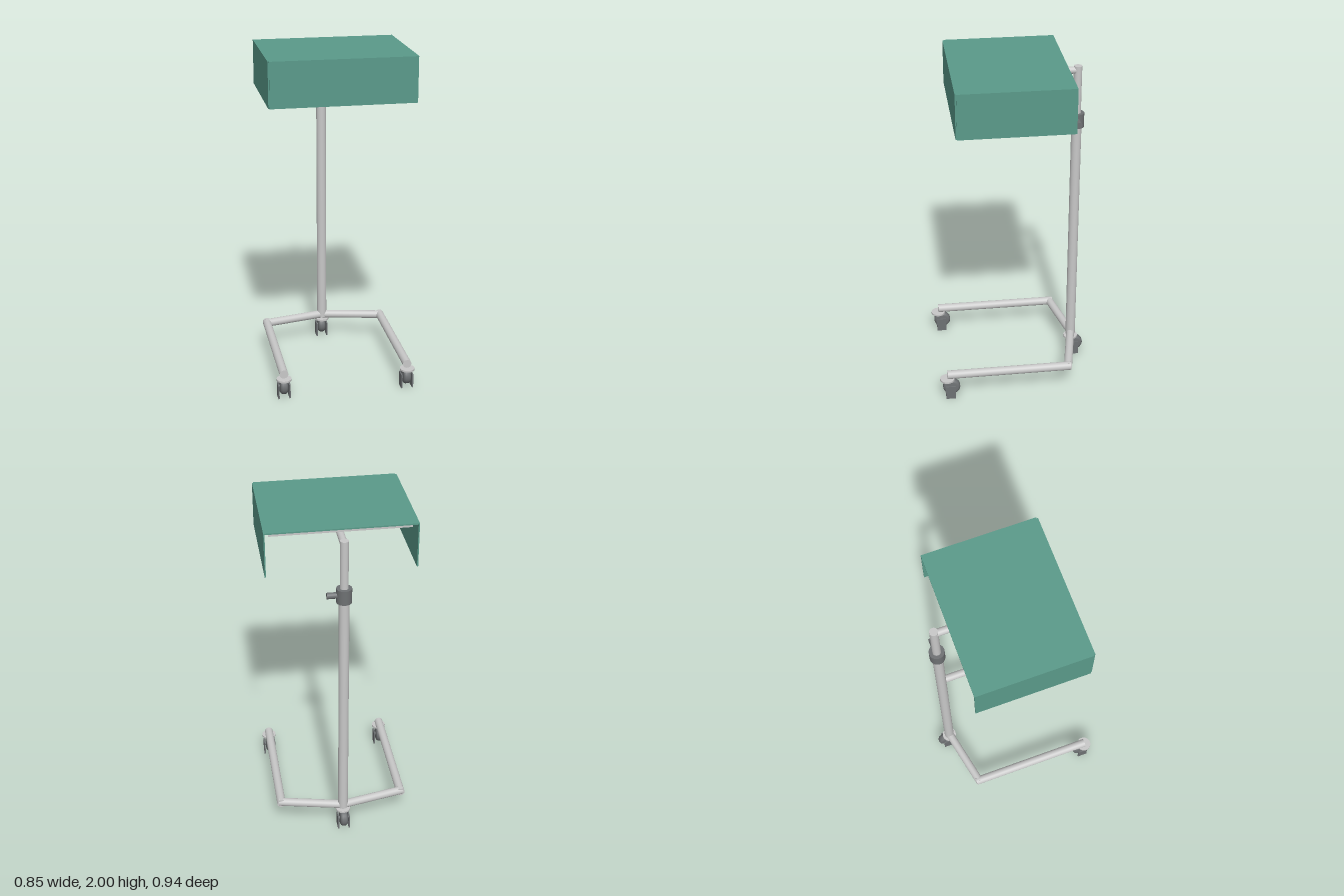
import * as THREE from 'three';

const mat = (name, color) => {
  const m = new THREE.MeshStandardMaterial({ color });
  m.name = name;
  return m;
};

export function createModel() {
  const green = mat('canopy green', 0x5a9a8a);
  const metal = mat('light metal', 0xc8c8c8);
  const dark = mat('dark grey', 0x6e7173);

  const model = new THREE.Group();
  model.name = 'rollingStand';

  const add = (parent, name, geometry, material) => {
    const mesh = new THREE.Mesh(geometry, material);
    mesh.name = name;
    parent.add(mesh);
    return mesh;
  };

  // Round bar between two points
  const bar = (parent, name, a, b, r, material) => {
    const p = new THREE.Vector3(...a), q = new THREE.Vector3(...b);
    const dir = q.clone().sub(p);
    const mesh = add(parent, name, new THREE.CylinderGeometry(r, r, dir.length(), 32), material);
    mesh.position.copy(p).add(q).multiplyScalar(0.5);
    mesh.quaternion.setFromUnitVectors(new THREE.Vector3(0, 1, 0), dir.normalize());
    return mesh;
  };

  // Box given by its extents on each axis
  const box = (parent, name, [x0, x1], [y0, y1], [z0, z1], material) => {
    const mesh = add(parent, name, new THREE.BoxGeometry(x1 - x0, y1 - y0, z1 - z0), material);
    mesh.position.set((x0 + x1) / 2, (y0 + y1) / 2, (z0 + z1) / 2);
    return mesh;
  };

  // Canopy: top and three hanging panels, open below and at the back
  const canopy = new THREE.Group();
  canopy.name = 'canopy';
  model.add(canopy);
  box(canopy, 'topPanel', [-0.418, 0.418], [1.992, 2], [-0.32, 0.337], green);
  box(canopy, 'frontPanel', [-0.418, 0.418], [1.735, 2], [0.337, 0.345], green);
  for (const s of [-1, 1]) {
    const side = box(canopy, 'sidePanel', [-0.0035, 0.0035], [1.735, 2], [-0.32, 0.337], green);
    side.position.x = s * 0.4215;
  }

  // Tray under the canopy top and the arm that carries it
  box(model, 'tray', [-0.395, 0.395], [1.96, 1.985], [-0.28, 0.315], metal);
  bar(model, 'supportArm', [0, 1.94, -0.395], [0, 1.94, -0.01], 0.021, metal);

  // Telescopic column with clamp collar and knob
  const pole = -0.395;
  bar(model, 'outerColumn', [0, 0.14, pole], [0, 1.62, pole], 0.03, metal);
  bar(model, 'innerColumn', [0, 1.6, pole], [0, 1.965, pole], 0.024, metal);
  bar(model, 'clampCollar', [0, 1.59, pole], [0, 1.677, pole], 0.044, dark);
  bar(model, 'clampKnob', [0.03, 1.635, pole], [0.097, 1.635, pole], 0.018, dark);

  // Base: two angled cross bars and two forward legs
  const base = new THREE.Group();
  base.name = 'base';
  model.add(base);
  for (const s of [-1, 1]) {
    bar(base, 'crossBar', [0, 0.153, pole], [s * 0.385, 0.153, -0.314], 0.025, metal);
    bar(base, 'leg', [s * 0.373, 0.153, -0.335], [s * 0.373, 0.153, 0.427], 0.026, metal);
  }

  // Caster: mounting disc, fork and rounded wheel trailing to the back
  const tread = [[0, -0.024], [0.036, -0.024], [0.046, -0.019], [0.052, -0.009],
    [0.052, 0.009], [0.046, 0.019], [0.036, 0.024], [0, 0.024]];
  const wheelGeometry = new THREE.LatheGeometry(tread.map(([r, y]) => new THREE.Vector2(r, y)), 32);
  const caster = (x, z) => {
    const g = new THREE.Group();
    g.name = 'caster';
    g.position.set(x, 0, z);
    model.add(g);
    bar(g, 'mountDisc', [0, 0.117, 0], [0, 0.128, 0], 0.044, metal);
    const wheel = add(g, 'wheel', wheelGeometry, dark);
    wheel.rotation.z = Math.PI / 2;
    wheel.position.set(0, 0.07, -0.025);
    bar(g, 'axle', [-0.035, 0.07, -0.025], [0.035, 0.07, -0.025], 0.012, dark);
    for (const s of [-1, 1]) {
      const plate = box(g, 'forkPlate', [-0.004, 0.004], [0, 0.087], [-0.048, 0.012], dark);
      plate.position.x = s * 0.033;
    }
  };
  caster(0, pole);
  caster(-0.373, 0.427);
  caster(0.373, 0.427);

  return model;
}
